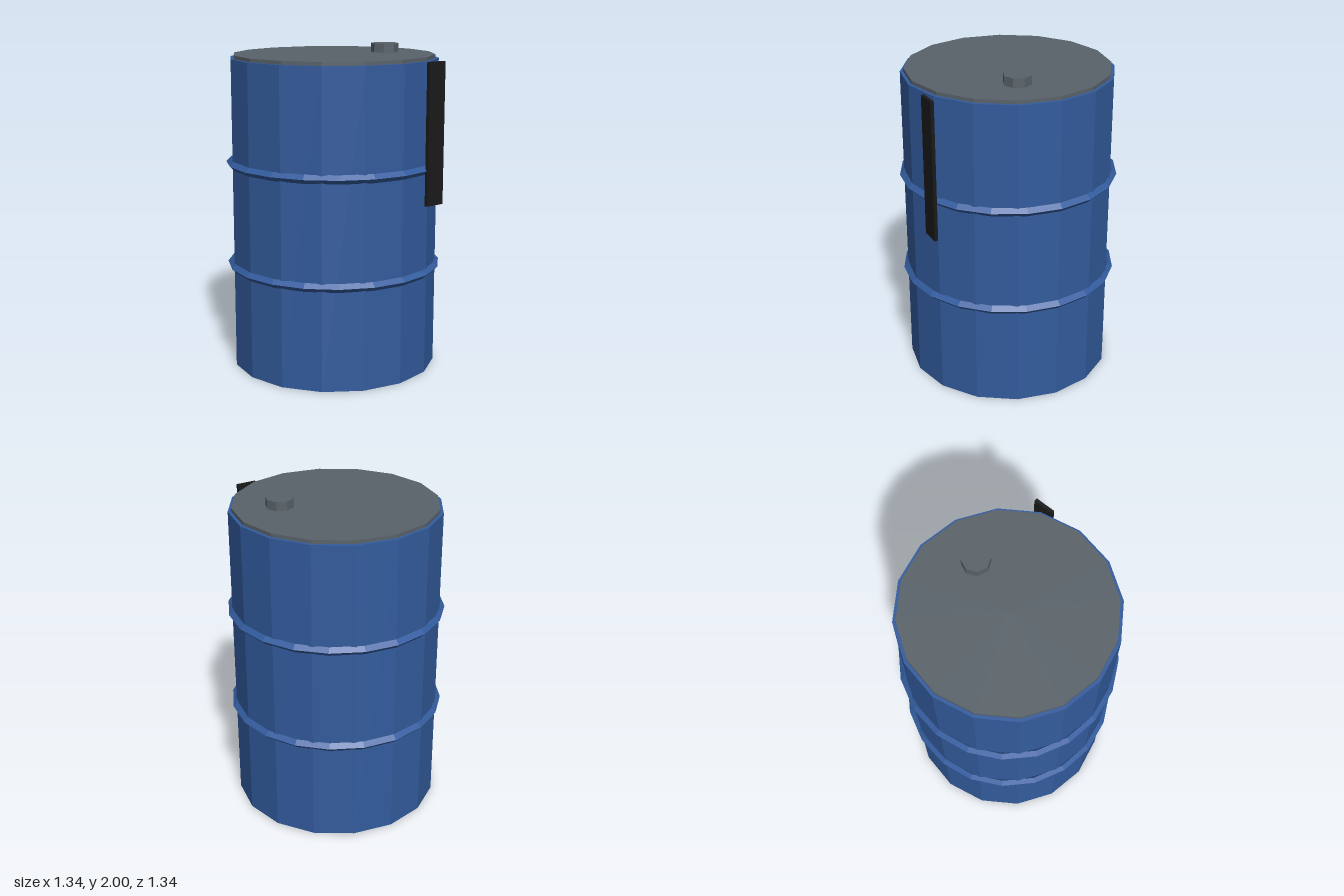
import * as THREE from 'three';

const material = (color) => new THREE.MeshStandardMaterial({ color, flatShading: true });

export function createModel() {
  const group = new THREE.Group();
  const blue = material(0x335c9e);
  const grey = material(0x5a636a);
  const black = material(0x1a1a1a);

  const add = (name, geometry, mat, x, y, z) => {
    const mesh = new THREE.Mesh(geometry, mat);
    mesh.name = name;
    mesh.position.set(x, y, z);
    group.add(mesh);
    return mesh;
  };

  // Sixteen-sided drum
  add('body', new THREE.CylinderGeometry(0.64, 0.64, 1.923, 16), blue, 0, 0.9615, 0);

  // Raised hoops with a diamond cross-section
  for (const [name, y] of [['lowerHoop', 0.641], ['upperHoop', 1.282]]) {
    const hoop = new THREE.TorusGeometry(0.641, 0.027, 4, 20).rotateX(Math.PI / 2);
    add(name, hoop, blue, 0, y, 0);
  }

  // Lid and its bung cap
  add('lid', new THREE.CylinderGeometry(0.62, 0.62, 0.043, 16), grey, 0, 1.923, 0);
  add('bungCap', new THREE.CylinderGeometry(0.085, 0.085, 0.064, 8), grey, 0.32, 1.968, 0.107);

  // Dark strip running down the front
  add('frontStrip', new THREE.BoxGeometry(0.128, 0.855, 0.021), black, 0.256, 1.496, 0.635);

  return group;
}
